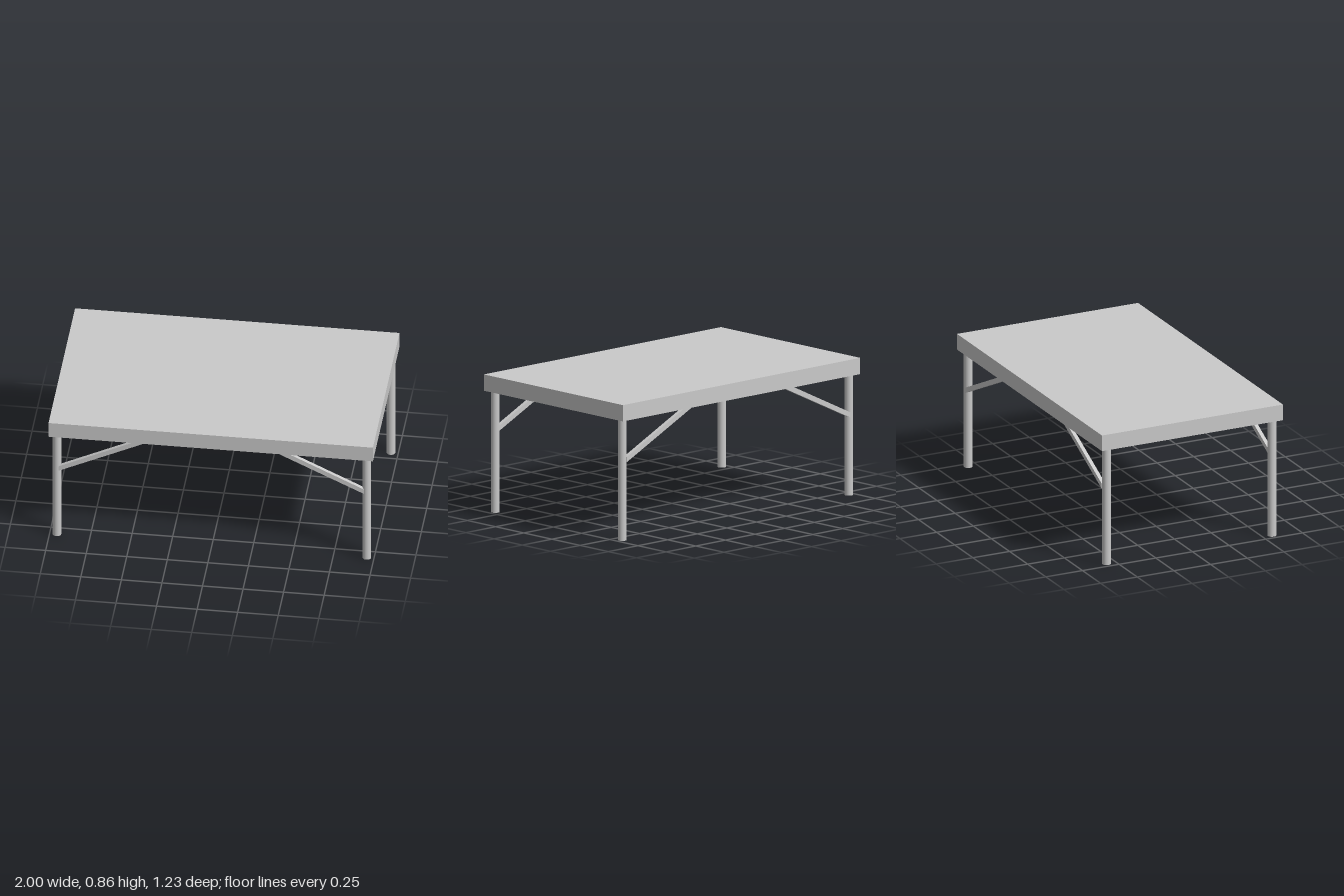
import * as THREE from 'three';

export function createModel() {
  const table = new THREE.Group();
  table.name = 'table';
  const grey = new THREE.MeshStandardMaterial({ color: 0xcacaca });
  grey.name = 'plain grey';

  const HX = 1, HZ = 0.617;            // half width and half depth of the top
  const TOP = 0.858, UNDER = 0.837, RIM = 0.756, WALL = 0.02;

  const add = (name, geometry, x, y, z) => {
    const mesh = new THREE.Mesh(geometry, grey);
    mesh.name = name;
    mesh.position.set(x, y, z);
    table.add(mesh);
  };
  const points = list => list.map(([x, y]) => new THREE.Vector2(x, y));
  const corners = (x, z) => points([[-x, -z], [x, -z], [x, z], [-x, z]]);

  // Table top: a thin panel inside a taller frame, hollow underneath
  const ix = HX - WALL, iz = HZ - WALL;
  add('panel', new THREE.BoxGeometry(2 * ix, TOP - UNDER, 2 * iz), 0, (TOP + UNDER) / 2, 0);
  const frame = new THREE.Shape(corners(HX, HZ));
  frame.holes.push(new THREE.Path(corners(ix, iz)));
  const frameGeometry = new THREE.ExtrudeGeometry(frame, { depth: TOP - RIM, bevelEnabled: false });
  frameGeometry.rotateX(-Math.PI / 2);
  add('frame', frameGeometry, 0, RIM, 0);

  // Round legs near the corners, each with a slanting brace on its outer side
  const R = 0.027, BRACE = 0.024;
  const legGeometry = new THREE.CylinderGeometry(R, R, UNDER, 24);
  const outline = [[0.942, 0.489], [0.942, 0.522], [0.302, 0.828], [0.288, 0.8]];
  for (const sx of [-1, 1]) {
    const brace = new THREE.Shape(points(outline.map(([x, y]) => [sx * x, y])));
    const braceGeometry = new THREE.ExtrudeGeometry(brace, { depth: BRACE, bevelEnabled: false });
    braceGeometry.translate(0, 0, -BRACE / 2);
    for (const sz of [-1, 1]) {
      const label = (sz > 0 ? 'front' : 'back') + (sx > 0 ? 'Left' : 'Right');
      add(label + 'Leg', legGeometry, sx * 0.955, UNDER / 2, sz * 0.5635);
      add(label + 'Brace', braceGeometry, 0, 0, sz * 0.579);
    }
  }
  return table;
}
